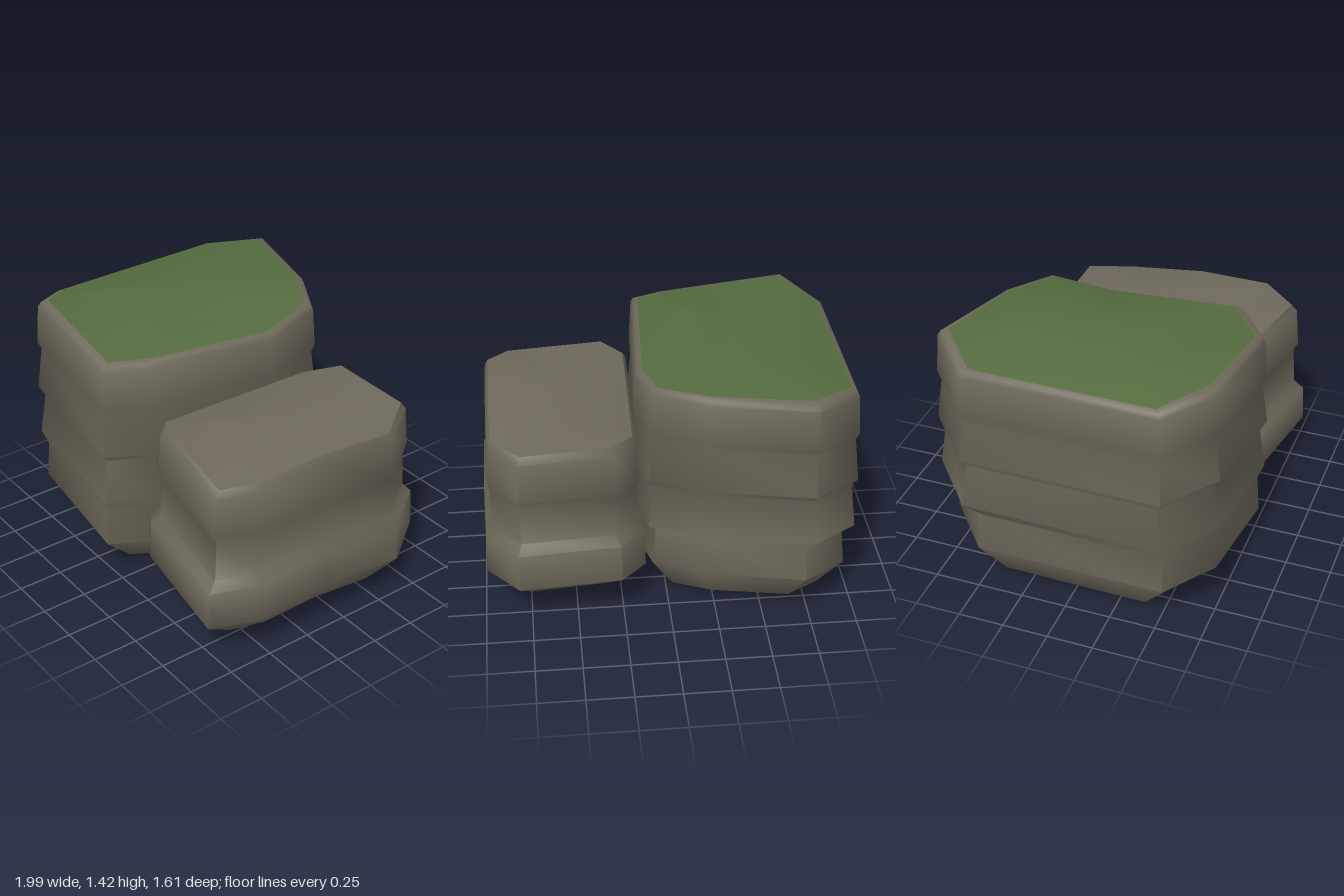
import * as THREE from 'three';
import { toCreasedNormals } from 'three/addons/utils/BufferGeometryUtils.js';

const stone = new THREE.MeshStandardMaterial({ color: 0x6e695b });
stone.name = 'stone';
const moss = new THREE.MeshStandardMaterial({ color: 0x556b3f });
moss.name = 'moss';

// One cross-section: the outline scaled about its centre, each corner tilted by its own height offset
function makeRing(rock, [y, scale, shiftZ = 0, tilt = 1]) {
  const [cx, cz] = rock.centre;
  return rock.outline.map(([x, z, dy]) => [
    cx + (x - cx) * scale,
    Math.max(0, y + dy * tilt),
    cz + (z - cz) * scale + shiftZ,
  ]);
}

// Joins rings from bottom to top; optional centre points close the ends
function loft(rings, { bottom, top } = {}) {
  const pos = [];
  const tri = (a, b, c) => pos.push(...a, ...b, ...c);
  const n = rings[0].length;
  const last = rings[rings.length - 1];
  for (let j = 0; j < n; j++) {
    const k = (j + 1) % n;
    for (let i = 0; i < rings.length - 1; i++) {
      const a = rings[i][j], b = rings[i][k], c = rings[i + 1][j], d = rings[i + 1][k];
      tri(a, c, d);
      tri(a, d, b);
    }
    if (bottom) tri(bottom, rings[0][j], rings[0][k]);
    if (top) tri(top, last[k], last[j]);
  }
  const geometry = new THREE.BufferGeometry();
  geometry.setAttribute('position', new THREE.Float32BufferAttribute(pos, 3));
  return toCreasedNormals(geometry, 1.05);
}

function buildRock(rock) {
  const group = new THREE.Group();
  group.name = rock.name;
  const add = (name, geometry, material) => {
    const mesh = new THREE.Mesh(geometry, material);
    mesh.name = name;
    group.add(mesh);
  };
  const [cx, cz] = rock.centre;
  const rings = rock.layers.map((layer) => makeRing(rock, layer));
  const capRings = rock.cap.map((layer) => makeRing(rock, layer));

  // Layered sides up to the edge of the top
  add('strataSides', loft([...rings, capRings[0]]), stone);
  // Flat underside
  add('underside', loft([rings[0]], { bottom: [cx, rock.layers[0][0], cz] }), stone);
  // Gently domed top
  add(rock.capName, loft(capRings, { top: [cx, rock.crown, cz] }), rock.capMaterial);
  return group;
}

// Corners: x, z, height offset. Layers: height, scale, z shift, tilt share.
const tallRock = {
  name: 'tallRock',
  centre: [-0.42, 0],
  outline: [
    [-0.99, -0.57, -0.02], [-0.73, -0.81, 0.04], [-0.17, -0.67, 0.02],
    [0.11, -0.51, 0], [0.17, -0.17, -0.06], [0.13, 0.62, 0],
    [-0.06, 0.80, -0.05], [-0.78, 0.76, 0.045], [-0.99, 0.52, -0.03],
  ],
  layers: [
    [0.04, 0.73, 0.01], [0.245, 0.945, 0.03], [0.46, 0.915, 0.04],
    [0.53, 1], [0.78, 0.955], [0.82, 1],
    [1.06, 0.96], [1.10, 0.985], [1.315, 0.965], [1.34, 0.945],
  ],
  cap: [[1.352, 0.9, 0, 0.95], [1.395, 0.5, 0, 0.45]],
  crown: 1.405,
  capName: 'mossTop',
  capMaterial: moss,
};

const lowRock = {
  name: 'lowRock',
  centre: [0.56, 0.05],
  outline: [
    [0.12, -0.43, -0.02], [0.26, -0.62, 0.02], [0.81, -0.635, 0],
    [0.985, -0.38, -0.04], [0.995, 0.12, 0.005], [0.995, 0.58, 0],
    [0.86, 0.79, -0.045], [0.24, 0.72, 0.02], [0.10, 0.63, -0.02],
  ],
  layers: [
    [0.1, 0.73], [0.25, 1], [0.46, 0.985],
    [0.51, 0.915], [0.73, 0.895], [0.77, 0.925],
    [0.99, 0.9],
  ],
  cap: [[1.03, 0.86], [1.052, 0.5, 0, 0.4]],
  crown: 1.05,
  capName: 'stoneTop',
  capMaterial: stone,
};

export function createModel() {
  const model = new THREE.Group();
  model.name = 'layeredRocks';
  model.add(buildRock(tallRock), buildRock(lowRock));
  return model;
}
